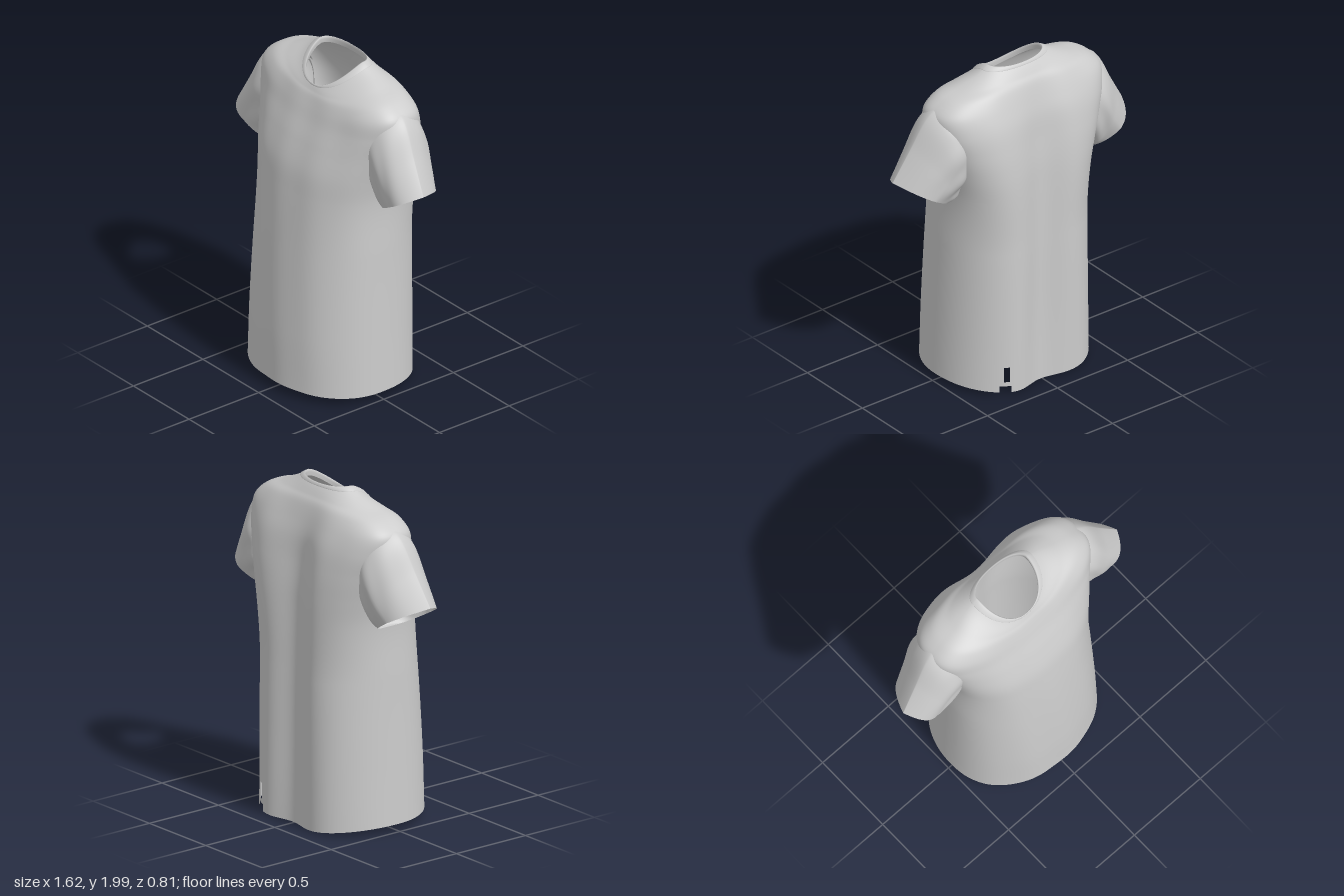
import * as THREE from 'three';

const material = new THREE.MeshStandardMaterial({ color: 0xcccccc, side: THREE.DoubleSide });
const { lerp, smoothstep } = THREE.MathUtils;

// Closed-loop surface: point(angle, v), v from 0 to 1; keep(middle, angle, v) can cut cells away.
function loft(name, point, around, along, keep = () => true) {
  const pos = [], index = [], step = (Math.PI * 2) / around;
  for (let j = 0; j <= along; j++)
    for (let i = 0; i < around; i++) pos.push(...point(i * step, j / along));
  for (let j = 0; j < along; j++)
    for (let i = 0; i < around; i++) {
      const k = (i + 1) % around;
      const a = j * around + i, c = j * around + k, b = a + around, d = c + around;
      const mid = [0, 1, 2].map(n => (pos[a * 3 + n] + pos[b * 3 + n] + pos[c * 3 + n] + pos[d * 3 + n]) / 4);
      if (keep(mid, (i + 0.5) * step, (j + 0.5) / along)) index.push(a, b, c, c, b, d);
    }
  const g = new THREE.BufferGeometry();
  g.setAttribute('position', new THREE.Float32BufferAttribute(pos, 3));
  g.setIndex(index);
  g.computeVertexNormals();
  const mesh = new THREE.Mesh(g, material);
  mesh.name = name;
  return mesh;
}

// Smooth interpolation through rows whose first entry is the position along the path.
function rowCurve(rows) {
  const size = rows[0].length - 1;
  const curve = new THREE.CubicInterpolant(
    rows.map(r => r[0]), rows.flatMap(r => r.slice(1)), size, new Float32Array(size));
  return t => curve.evaluate(t);
}

// Body rings: path, half width, front z, back z, front y, side y, back y, side z, spine groove
const TOP = 2.23;
const bodyRow = rowCurve([
  [0, 0.483, 0.408, -0.448, 0.06, 0.045, 0.005, 0, 0.09],
  [0.4, 0.474, 0.398, -0.452, 0.4, 0.4, 0.4, 0, 0.1],
  [0.9, 0.465, 0.36, -0.45, 0.9, 0.9, 0.9, -0.01, 0.1],
  [1.25, 0.465, 0.318, -0.435, 1.25, 1.25, 1.25, -0.03, 0.09],
  [1.4, 0.49, 0.291, -0.42, 1.4, 1.4, 1.4, -0.045, 0.08],
  [1.55, 0.53, 0.24, -0.397, 1.55, 1.55, 1.55, -0.06, 0.07],
  [1.68, 0.568, 0.194, -0.363, 1.66, 1.68, 1.69, -0.07, 0.05],
  [1.79, 0.57, 0.165, -0.32, 1.735, 1.79, 1.79, -0.07, 0.03],
  [1.88, 0.5, 0.144, -0.28, 1.785, 1.855, 1.87, -0.075, 0.015],
  [2.02, 0.37, 0.126, -0.24, 1.815, 1.905, 1.92, -0.085, 0.005],
  [2.13, 0.265, 0.116, -0.212, 1.832, 1.95, 1.955, -0.1, 0],
  [TOP, 0.186, 0.108, -0.19, 1.845, 1.992, 1.982, -0.1, 0],
]);

function bodyPoint(angle, t) {
  const [w, zf, zb, yf, ys, yb, zc, groove] = bodyRow(t);
  const c = Math.cos(angle), s = Math.sin(angle), front = s > 0;
  const neck = smoothstep(t, 1.8, TOP);
  // rings are fuller at the corners around the chest
  const chest = smoothstep(t, 0.9, 1.5) * (1 - neck);
  const n = 2.2 + (front ? 0.25 : 0.65) * chest;
  const bulge = Math.pow(Math.max(0, 1 - Math.pow(Math.abs(c), n)), 1 / n);
  const x = w * c;
  let z = zc + ((front ? zf : zb) - zc) * bulge;
  if (!front) z += groove * Math.exp(-((x / 0.17) ** 2));
  // soft vertical drape, fading towards the shoulders
  z += 0.002 * Math.sin(x * 24 + t * 2) * Math.abs(s) * (1 - neck);
  // the neckline dips to the front in a round scoop
  const dip = Math.pow(Math.abs(s), front ? 2 - 0.75 * neck : 2);
  return [x, lerp(ys, front ? yf : yb, dip), z];
}

// Armholes inside the sleeves, plus the hem notch and slit at the back
function keepBody([x, y, z], angle, v) {
  if (Math.abs(x) > 0.43 && ((z + 0.085) / 0.16) ** 2 + ((y - 1.53) / 0.21) ** 2 < 1) return false;
  const t = v * TOP, offset = Math.abs(angle - Math.PI * 2 + 0.975);
  return !(offset < 0.075 && t < 0.045) && !(offset < 0.045 && t > 0.07 && t < 0.165);
}

// Sleeve cells buried in the body are left out, so the armholes stay open
function keepSleeve([x, y, z]) {
  const reach = Math.abs(x) / bodyRow(y)[0];
  if (y > 1.7 || reach >= 1) return true;
  const angle = Math.acos(reach);
  return z > bodyPoint(angle, y)[2] - 0.02 || z < bodyPoint(-angle, y)[2] + 0.02;
}

// Sleeve rings: path, top x, top y, bottom x, bottom y, centre z, half depth
const sleeveRow = rowCurve([
  [0, 0.43, 1.835, 0.4, 1.36, -0.08, 0.165],
  [0.2, 0.53, 1.825, 0.43, 1.31, -0.09, 0.185],
  [0.4, 0.605, 1.768, 0.455, 1.275, -0.09, 0.19],
  [0.7, 0.705, 1.597, 0.48, 1.25, -0.083, 0.175],
  [1, 0.812, 1.415, 0.505, 1.24, -0.075, 0.157],
]);

function sleevePoint(side) {
  return (angle, v) => {
    const [tx, ty, bx, by, zc, h] = sleeveRow(v);
    const c = Math.cos(angle), s = Math.sin(angle), upper = Math.max(c, 0);
    // gathered folds running out of the underarm
    const under = Math.sin(Math.PI * v) * (1 - c) * 0.5;
    const r = 1 + 0.04 * under * Math.sin(angle * 9 + v * 5) + 0.015 * Math.sin(v * 9) * s * s * (1 - v);
    // towards the cuff the upper half narrows to a ridge and the underside flattens
    const shape = Math.pow(Math.abs(s), 1 + v * (c > 0 ? 0.8 : 0.45) * c);
    return [
      side * ((tx + bx) / 2 + ((tx - bx) / 2) * c * r),
      (ty + by) / 2 + ((ty - by) / 2) * c * r,
      zc + 0.04 * upper * v - side * Math.sign(s) * shape * h * r,
    ];
  };
}

// Collar band: path on the body, outward scale, lift; the last steps fold inside
const collarSteps = [
  [2.18, 1.0, -0.001], [2.184, 1.008, 0.003], [2.21, 1.008, 0.004], [2.225, 1.004, 0.005],
  [TOP, 0.99, 0.003], [TOP, 0.985, -0.012], [TOP, 1.0, -0.035],
];
function collarPoint(angle, v) {
  const [t, scale, lift] = collarSteps[Math.round(v * (collarSteps.length - 1))];
  const [x, y, z] = bodyPoint(angle, t);
  return [x * scale, y + lift, -0.04 + (z + 0.04) * scale];
}

export function createModel() {
  const shirt = new THREE.Group();
  shirt.name = 'shirt';
  shirt.add(loft('body', (a, v) => bodyPoint(a, v * TOP), 240, 160, keepBody));
  shirt.add(loft('collar', collarPoint, 120, collarSteps.length - 1));
  shirt.add(loft('leftSleeve', sleevePoint(1), 96, 48, keepSleeve));
  shirt.add(loft('rightSleeve', sleevePoint(-1), 96, 48, keepSleeve));
  return shirt;
}
